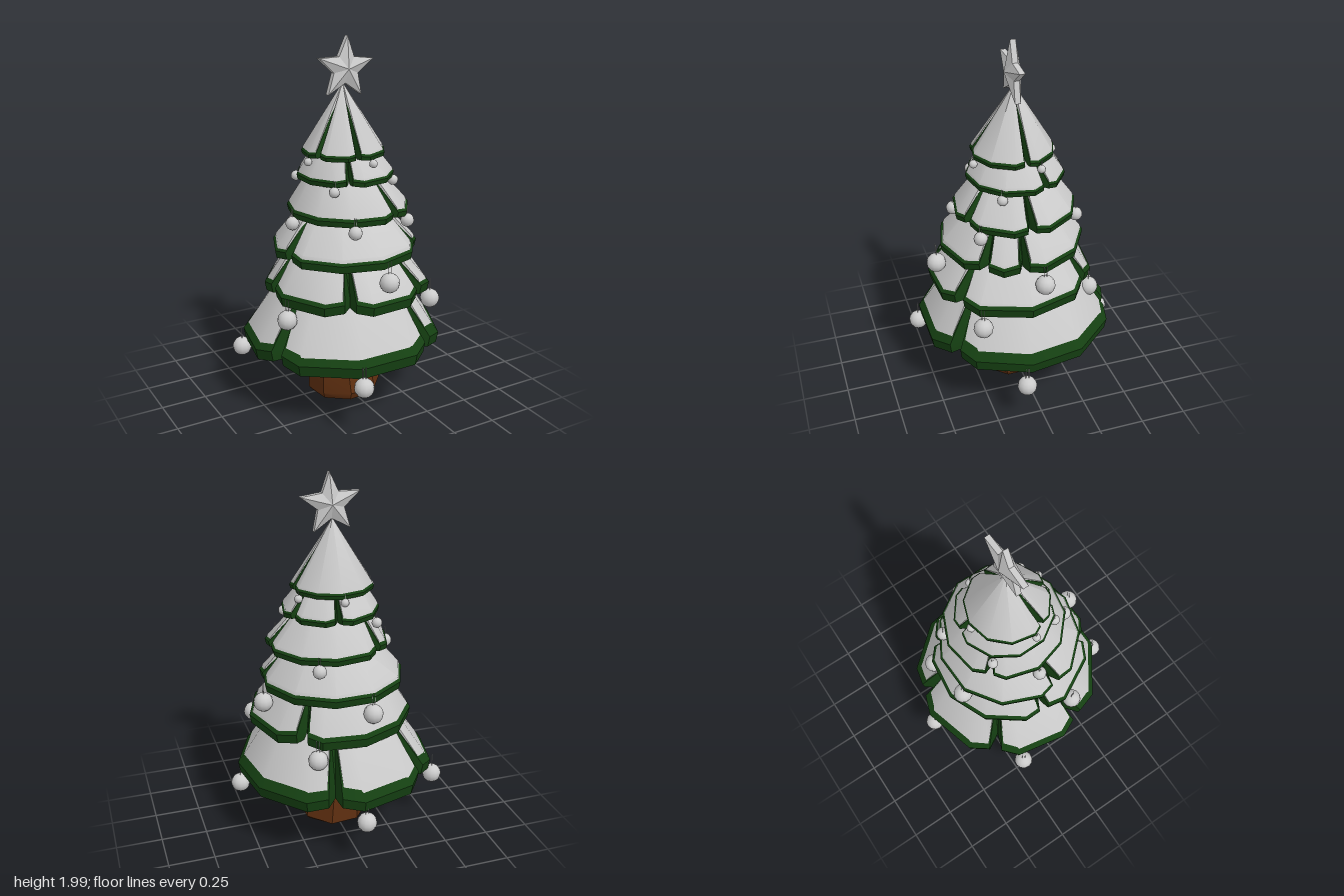
import * as THREE from 'three';
import { toCreasedNormals } from 'three/addons/utils/BufferGeometryUtils.js';

const grey = new THREE.MeshStandardMaterial({ color: 0xcccccc, side: THREE.DoubleSide });
const green = new THREE.MeshStandardMaterial({ color: 0x154012, side: THREE.DoubleSide });
const brown = new THREE.MeshStandardMaterial({ color: 0x5f2f10 });

// Skin a stack of equal-length rings, listed from top to bottom
function loft(rings, crease) {
  const pos = [];
  const tri = (a, b, c) => {
    if (a.equals(b) || b.equals(c) || c.equals(a)) return;
    for (const p of [a, b, c]) pos.push(p.x, p.y, p.z);
  };
  for (let k = 0; k < rings.length - 1; k++) {
    const top = rings[k], low = rings[k + 1], n = top.length;
    for (let i = 0; i < n; i++) {
      const j = (i + 1) % n;
      tri(top[i], top[j], low[i]);
      tri(top[j], low[j], low[i]);
    }
  }
  const geo = new THREE.BufferGeometry();
  geo.setAttribute('position', new THREE.Float32BufferAttribute(pos, 3));
  return toCreasedNormals(geo, crease);
}

function add(parent, name, geo, mat) {
  const mesh = new THREE.Mesh(geo, mat);
  mesh.name = name;
  parent.add(mesh);
  return mesh;
}

// Branch layers: bottom and top heights, top and outer radii, centre, rim heights, split angles
const tiers = [
  { y: 0.32, top: 0.72, r: 0.32, outer: 0.55, cx: -0.01, cz: 0, rim: 0.06, snow: 0.032, splits: [55, 160, 221, 287] },
  { y: 0.63, top: 0.92, r: 0.27, outer: 0.455, cx: 0.01, cz: 0.03, rim: 0.05, snow: 0.03, splits: [56, 117, 186, 307] },
  { y: 0.85, top: 1.12, r: 0.21, outer: 0.4, cx: 0, cz: 0.02, rim: 0.04, snow: 0.03, splits: [6, 39, 170] },
  { y: 1.065, top: 1.33, r: 0.16, outer: 0.335, cx: 0.03, cz: 0.01, rim: 0.03, snow: 0.025, splits: [0, 68, 228] },
  { y: 1.255, top: 1.46, r: 0.14, outer: 0.265, cx: 0.015, cz: 0, rim: 0.025, snow: 0.022, splits: [114, 277, 337] },
  { y: 1.385, top: 1.76, r: 0, outer: 0.225, cx: 0, cz: 0.01, rim: 0.02, snow: 0.02, splits: [98, 158, 356] }
];

// Walk round a layer: each split has a deep point between two lips, then evenly spaced corners
function makeOutline({ outer, cx, cz, splits }) {
  const points = [];
  const put = (degrees, scale, kind) => {
    const a = THREE.MathUtils.degToRad(degrees);
    const x = cx + Math.cos(a) * outer * scale, z = cz + Math.sin(a) * outer * scale;
    points.push({ angle: Math.atan2(z, x), d: Math.hypot(x, z), kind });
  };
  splits.forEach((start, i) => {
    const end = i + 1 < splits.length ? splits[i + 1] : splits[0] + 360;
    const span = end - start, corners = Math.round(span / 33);
    put(start, 0.77, 'split');
    put(start + 4, 0.95, 'lipAfter');
    for (let k = 0; k < corners; k++) put(start + span * (k + 0.5) / corners, 1, 'corner');
    put(end - 4, 0.95, 'lipBefore');
  });
  return points;
}

function makeTier(tier) {
  const { y, top, r, rim, snow } = tier;
  const outline = makeOutline(tier);
  const group = new THREE.Group();
  group.name = 'branchLayer';
  const at = (angle, d, height) => new THREE.Vector3(Math.cos(angle) * d, height, Math.sin(angle) * d);
  // Scaled copy of the outline; splits may be deepened and widened for the snow
  const ring = (scale, height, deepen = 1, widen = 0) => outline.map(({ angle, d, kind }) => {
    const turn = kind === 'lipAfter' ? widen : kind === 'lipBefore' ? -widen : 0;
    const lift = kind === 'corner' ? 0 : rim * 0.3;
    return at(angle + turn, d * scale * (kind === 'split' ? deepen : 1), height + lift);
  });
  const circle = (radius, height) => outline.map(({ angle }) => at(angle, radius, height));
  add(group, 'needles', loft([circle(r * 0.97, top - 0.02), ring(1, y + rim), ring(0.98, y),
    circle(0, y + 0.03)], 0.6), green);
  add(group, 'snow', loft([circle(r, top), ring(0.955, y + rim + snow, 0.82, 0.02),
    ring(0.98, y + rim, 0.82, 0.02)], 0.6), grey);
  return group;
}

// Trunk: uneven eight-sided rings [y, radius, x, z, tilt]
function makeTrunk() {
  const rings = [[0.45, 0, 0, 0.01, 0], [0.45, 0.16, -0.02, 0.01, 0], [0.27, 0.175, -0.02, 0.01, 0],
    [0.04, 0.205, -0.01, 0.035, 0.03], [0.015, 0.19, -0.01, 0.03, 0.01], [0.005, 0, -0.01, 0.03, 0]]
    .map(([y, r, x, z, tilt]) => Array.from({ length: 8 }, (_, i) => {
      const a = (i + 0.4) * Math.PI / 4;
      return new THREE.Vector3(x + Math.cos(a) * r, y + Math.sin(a) * tilt, z + Math.sin(a) * r);
    }));
  return loft(rings, 0.6);
}

// Five-pointed star with raised centres and a thin rim
function makeStar() {
  const ring = (scale, depth) => Array.from({ length: 10 }, (_, i) => {
    const a = -Math.PI / 2 + i * Math.PI / 5, r = (i % 2 ? 0.075 : 0.168) * scale;
    return new THREE.Vector3(Math.cos(a) * r, depth, Math.sin(a) * r);
  });
  return loft([ring(0, 0.045), ring(1, 0.015), ring(1, -0.015), ring(0, -0.045)], 0.1).rotateX(Math.PI / 2);
}

// Hanging baubles, one row per height: each place is [angle in degrees, distance from the axis]
const baubleRows = [
  { y: 0.26, r: 0.053, places: [[10, 0.53], [108, 0.56], [203, 0.57], [268, 0.535]] },
  { y: 0.573, r: 0.053, places: [[37, 0.487], [158, 0.463], [298, 0.425]] },
  { y: 0.79, r: 0.053, places: [[87, 0.45], [253, 0.376], [354, 0.407]] },
  { y: 1.04, r: 0.037, places: [[46, 0.36], [108, 0.332], [178, 0.31], [299, 0.338]] },
  { y: 1.235, r: 0.028, places: [[30, 0.271], [129, 0.256], [228, 0.269]] },
  { y: 1.368, r: 0.022, places: [[78, 0.24], [171, 0.228], [270, 0.21], [339, 0.225]] }
];

function makeBauble(r) {
  const group = new THREE.Group();
  group.name = 'bauble';
  add(group, 'ball', new THREE.SphereGeometry(r, 12, 8), grey);
  for (const s of [-1, 1]) {
    const string = add(group, 'string', new THREE.CylinderGeometry(r * 0.035, r * 0.035, r * 1.3, 4), grey);
    string.position.set(s * r * 0.15, r * 1.5, 0);
  }
  return group;
}

export function createModel() {
  const tree = new THREE.Group();
  tree.name = 'snowyTree';
  add(tree, 'trunk', makeTrunk(), brown);
  for (const tier of tiers) tree.add(makeTier(tier));
  const star = add(tree, 'star', makeStar(), grey);
  star.position.set(0.008, 1.832, 0.01);
  star.rotation.z = -0.05;
  for (const { y, r, places } of baubleRows) {
    for (const [degrees, d] of places) {
      const a = THREE.MathUtils.degToRad(degrees);
      const bauble = makeBauble(r);
      // The lowest row hangs unevenly, following the drooping rim
      const drop = y < 0.3 ? 0.03 * Math.cos(a + 0.4) : 0;
      bauble.position.set(Math.cos(a) * d, y - drop, Math.sin(a) * d);
      bauble.rotation.y = Math.PI / 2 - a;
      tree.add(bauble);
    }
  }
  return tree;
}
